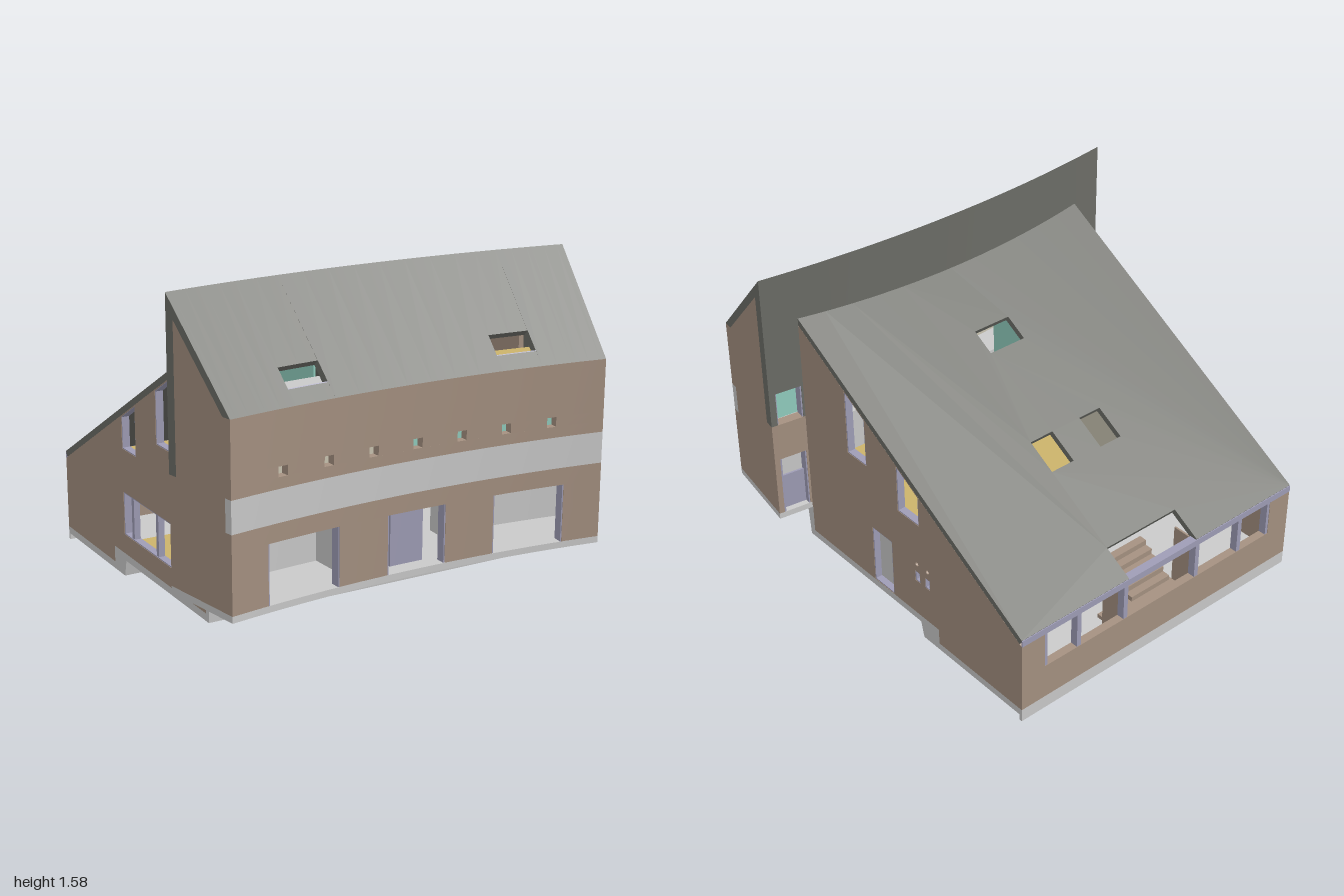
import * as THREE from 'three';
import { toCreasedNormals } from 'three/addons/utils/BufferGeometryUtils.js';

const mat = (name, color) => new THREE.MeshStandardMaterial({ name, color, side: THREE.DoubleSide });

export function createModel() {
  const brick = mat('brown wall', 0xa59181);
  const stone = mat('light grey', 0xcacaca);
  const slate = mat('roof slate', 0x6c6d67);
  const lilac = mat('lilac frame', 0x9f9db6);
  const teal = mat('teal wall', 0x92cfc0);
  const cream = mat('cream wall', 0xcbc5b2);
  const yellow = mat('yellow floor', 0xccb36b);

  const house = new THREE.Group();
  house.name = 'house';
  const frontWing = new THREE.Group();
  frontWing.name = 'curvedFrontWing';
  const rearWing = new THREE.Group();
  rearWing.name = 'rearWing';
  house.add(frontWing, rearWing);

  const add = (parent, name, geometry, material) => {
    const mesh = new THREE.Mesh(geometry, material);
    mesh.name = name;
    parent.add(mesh);
    return mesh;
  };
  const polygon = (pts) => new THREE.Shape(pts.map(([x, y]) => new THREE.Vector2(x, y)));

  // ---- curved front wing: sections in (radius, height) swept about a far axis
  const CZ = 6.99, RF = 6.08, RB = 6.51, W = 0.938;
  const sweep = (name, profile, x0, x1, material) => {
    const steps = Math.max(1, Math.ceil((x1 - x0) / 0.12));
    const g = new THREE.ExtrudeGeometry(polygon(profile), { depth: 1, steps, bevelEnabled: false });
    const p = g.attributes.position;
    for (let i = 0; i < p.count; i++) {
      const a = (x0 + (x1 - x0) * p.getZ(i)) / RF, r = p.getX(i);
      p.setXYZ(i, r * Math.sin(a), p.getY(i), CZ - r * Math.cos(a));
    }
    g.computeVertexNormals();
    return add(frontWing, name, toCreasedNormals(g, 0.4), material);
  };
  const rect = (r0, r1, y0, y1) => [[r0, y0], [r1, y0], [r1, y1], [r0, y1]];
  // wall row with gaps between x pairs
  const row = (name, y0, y1, gaps, material) => {
    const xs = [-W, ...gaps.flat(), W];
    for (let i = 0; i < xs.length; i += 2) sweep(name, rect(RF, RF + 0.04, y0, y1), xs[i], xs[i + 1], material);
  };
  const doors = [[-0.755, -0.395], [-0.15, 0.145], [0.39, 0.75]];
  const smallWindows = [-0.68, -0.45, -0.225, -0.003, 0.22, 0.445, 0.675].map((x) => [x - 0.023, x + 0.023]);
  sweep('frontWingBase', rect(RF, RB, 0.285, 0.315), -W, W, stone);
  row('frontWallGround', 0.315, 0.585, doors, brick);
  row('frontWallLintel', 0.585, 0.665, [], brick);
  row('frontBand', 0.665, 0.81, [], stone);
  row('frontWallSill', 0.81, 0.86, [], brick);
  row('frontWallWindows', 0.86, 0.905, smallWindows, brick);
  row('frontWallUpper', 0.905, 1.145, [], brick);
  for (const [a, b] of doors) {
    sweep('doorReveal', rect(RF + 0.002, RF + 0.05, 0.315, 0.585), a, a + 0.006, lilac);
    sweep('doorReveal', rect(RF + 0.002, RF + 0.05, 0.315, 0.585), b - 0.006, b, lilac);
  }

  // end walls and the narrow rear walls beside the rear wing
  const mirror = (x0, x1, fn) => { fn(x0, x1); fn(-x1, -x0); };
  const endWall = [[RF + 0.04, 0.315], [RB, 0.315], [RB, 0.81], [6.46, 0.81], [6.46, 1.475], [6.13, 1.145], [RF + 0.04, 1.145]];
  mirror(W - 0.025, W, (a, b) => sweep('endWall', endWall, a, b, brick));
  mirror(0.787, W - 0.025, (a, b) => sweep('backWallMiddle', rect(6.46, RB, 0.62, 0.81), a, b, brick));
  mirror(0.765, 0.787, (a, b) => sweep('backWallJamb', rect(6.46, RB, 0.315, 0.81), a, b, brick));
  mirror(0.79, 0.909, (a, b) => sweep('backDoorPanel', rect(6.47, 6.48, 0.315, 0.5), a, b, lilac));
  for (const [y0, y1] of [[0.315, 0.62], [0.812, 0.98]]) {
    mirror(0.787, 0.793, (a, b) => sweep('backWindowFrame', rect(6.462, RB - 0.002, y0, y1), a, b, lilac));
    mirror(0.905, 0.913, (a, b) => sweep('backWindowFrame', rect(6.462, RB - 0.002, y0, y1), a, b, lilac));
  }

  // steep roof folding down over the back wall, with two skylights
  const lower = [[RF, 1.145], [6.13, 1.145], [6.16, 1.175], [6.135, 1.2]];
  const upper = (y) => [[6.21, 1.275], [6.235, 1.25], [6.46, 1.475], [6.46, y], [RB, y], [RB, 1.58]];
  const whole = (y) => [[RF, 1.145], [6.13, 1.145], [6.46, 1.475], [6.46, y], [RB, y], [RB, 1.58]];
  sweep('frontRoof', whole(1.25), -0.42, 0.42, slate);
  mirror(0.42, 0.615, (a, b) => {
    sweep('frontRoofEave', lower, a, b, slate);
    sweep('frontRoofRidge', upper(1.25), a, b, slate);
    sweep('skylightSill', [[6.135, 1.2], [6.16, 1.175], [6.163, 1.178], [6.138, 1.203]], a, b, lilac);
  });
  mirror(0.615, 0.765, (a, b) => sweep('frontRoof', whole(1.25), a, b, slate));
  mirror(0.765, 0.787, (a, b) => sweep('frontRoof', whole(0.81), a, b, slate));
  mirror(0.787, 0.909, (a, b) => sweep('frontRoof', whole(0.98), a, b, slate));
  mirror(0.909, W, (a, b) => sweep('frontRoof', whole(0.81), a, b, slate));

  // rooms of the front wing
  sweep('upperFloor', rect(6.12, 6.46, 0.665, 0.7), -0.91, 0.91, stone);
  sweep('atticFloorRight', rect(6.13, 6.45, 1.1, 1.13), -0.91, 0, stone);
  sweep('atticFloorLeft', rect(6.13, 6.45, 1.1, 1.13), 0, 0.91, yellow);
  sweep('upperPartition', rect(6.3, 6.31, 0.7, 1.1), -0.91, 0.1, cream);
  sweep('upperPartition', rect(6.3, 6.31, 0.7, 1.1), 0.1, 0.91, teal);
  mirror(0.3, 0.91, (a, b) => sweep('garageBackWall', rect(6.39, 6.4, 0.315, 0.665), a, b, stone));
  mirror(0.3, 0.31, (a, b) => sweep('garageSideWall', rect(6.12, 6.46, 0.315, 0.665), a, b, stone));
  sweep('frontDoor', rect(6.16, 6.18, 0.315, 0.585), -0.085, 0.08, lilac);
  sweep('hallWall', rect(6.2, 6.21, 0.315, 0.665), -0.3, -0.08, stone);

  // ---- rear wing: side sections in (z, height) extruded along x
  const sideShape = (pts) => polygon(pts.map(([z, y]) => [-z, y]));
  const sideExtrude = (name, shape, x0, x1, material) => {
    const g = new THREE.ExtrudeGeometry(shape, { depth: x1 - x0, bevelEnabled: false, curveSegments: 12 });
    g.rotateY(Math.PI / 2);
    g.translate(x0, 0, 0);
    return add(rearWing, name, g, material);
  };
  const box = (name, x0, x1, y0, y1, z0, z1, material) => {
    const g = new THREE.BoxGeometry(x1 - x0, y1 - y0, z1 - z0);
    g.translate((x0 + x1) / 2, (y0 + y1) / 2, (z0 + z1) / 2);
    return add(rearWing, name, g, material);
  };
  const SLOPE = 0.5757;
  const under = (z) => 0.425 + SLOPE * (z + 0.985); // underside of the long roof

  sideExtrude('steppedBase', sideShape([[0.575, 0.285], [0.56, 0.11], [-0.29, 0.11], [-0.31, 0.03], [-0.97, 0.03],
    [-0.97, 0], [-0.985, 0], [-0.985, 0.065], [-0.42, 0.065], [-0.42, 0.145], [0.53, 0.145], [0.53, 0.285]]), -0.83, 0.83, stone);

  // side walls with their openings
  const quad = (z0, z1, y0, y1, y2 = y1) => [[z0, y0], [z1, y0], [z1, y2], [z0, y1]];
  const tall = quad(0.07, 0.21, 0.78, under(0.07) - 0.006, under(0.21) - 0.006);
  const middle = quad(-0.3, -0.15, 0.66, under(-0.3) - 0.006, under(-0.15) - 0.006);
  const sides = {
    right: [tall, middle, quad(-0.095, 0.05, 0.147, 0.45), quad(-0.295, -0.26, 0.335, 0.39), quad(-0.365, -0.33, 0.335, 0.39)],
    left: [tall, middle, quad(-0.3, 0.21, 0.24, 0.45)],
  };
  const wallOutline = [[0.535, 0.145], [-0.42, 0.145], [-0.42, 0.065], [-0.985, 0.065], [-0.985, 0.425], [0.535, under(0.535)]];
  for (const [side, openings] of Object.entries(sides)) {
    const x0 = side === 'right' ? 0.79 : -0.83;
    const wall = sideShape(wallOutline);
    for (const o of openings) {
      wall.holes.push(sideShape(o));
      const cz = (o[0][0] + o[1][0]) / 2, cy = (o[0][1] + o[2][1]) / 2;
      const frame = sideShape(o);
      const width = o[1][0] - o[0][0], height = o[2][1] - o[0][1];
      frame.holes.push(sideShape(o.map(([z, y]) => [cz + (z - cz) * (1 - 0.01 / width), cy + (y - cy) * (1 - 0.01 / height)])));
      sideExtrude('windowFrame', frame, x0 + 0.002, x0 + 0.038, lilac);
    }
    if (side === 'right') {
      for (const z of [-0.275, -0.35]) {
        const vent = new THREE.Path();
        vent.absarc(-z, 0.433, 0.01, 0, Math.PI * 2);
        wall.holes.push(vent);
      }
    }
    sideExtrude('sideWall', wall, x0, x0 + 0.04, brick);
  }
  box('sideDoor', 0.785, 0.795, 0.147, 0.45, -0.09, 0.045, stone);
  for (const z of [-0.21, 0.05]) box('windowPost', -0.825, -0.795, 0.24, 0.45, z - 0.012, z + 0.012, lilac);

  // rear wall, posts and fascia
  box('rearParapet', -0.79, 0.79, 0.065, 0.24, -0.985, -0.945, brick);
  for (const s of [-1, 1]) {
    box('rearPier', s * 0.745 - 0.045, s * 0.745 + 0.045, 0.24, 0.425, -0.985, -0.945, brick);
    for (const x of [0.222, 0.5, 0.696]) {
      box('rearPost', s * x - 0.012, s * x + 0.012, 0.24, 0.425, -0.983, -0.945, lilac);
    }
    box('porchWall', s * 0.22 - 0.005, s * 0.22 + 0.005, 0.065, 0.44, -0.945, -0.84, brick);
  }
  box('rearBeam', -0.21, 0.21, 0.42, 0.455, -0.985, -0.945, lilac);
  box('rearFascia', -0.83, 0.83, 0.425, 0.457, -0.988, -0.982, lilac);
  box('porchFloor', -0.215, 0.215, 0.12, 0.14, -0.945, -0.8, brick);
  for (let i = 0; i < 5; i++) box('porchStep', -0.2, 0.04, 0.12, 0.165 + i * 0.028, -0.84 + i * 0.04, -0.8 + i * 0.04, brick);

  // long roof drawn in its own plane, with skylights and a porch notch
  const c = 1 / Math.hypot(1, SLOPE), sn = SLOPE * c;
  const along = (z) => (z + 0.985) / c;
  const edge = [[-0.21, along(-0.985)], [-0.21, along(-0.84)], [0.21, along(-0.84)], [0.21, along(-0.985)], [0.83, 0]];
  for (let i = 0; i <= 12; i++) {
    const x = 0.83 - (1.66 * i) / 12;
    edge.push([x, along(CZ - Math.sqrt(6.505 ** 2 - x * x))]);
  }
  edge.push([-0.83, 0]);
  const roofShape = polygon(edge);
  for (const [x0, x1, z0, z1] of [[-0.21, -0.085, -0.475, -0.33], [0.08, 0.21, -0.475, -0.33], [-0.1, 0.1, 0.073, 0.185]]) {
    roofShape.holes.push(polygon([[x0, along(z0)], [x1, along(z0)], [x1, along(z1)], [x0, along(z1)]]));
  }
  const roof = new THREE.ExtrudeGeometry(roofShape, { depth: 0.03, bevelEnabled: false });
  roof.applyMatrix4(new THREE.Matrix4().makeBasis(
    new THREE.Vector3(1, 0, 0), new THREE.Vector3(0, sn, c), new THREE.Vector3(0, -c, sn)).setPosition(0, 0.46, -0.985));
  add(rearWing, 'longRoof', roof, slate);

  // rooms of the rear wing
  box('rearUpperFloor', -0.79, 0.79, 0.53, 0.56, -0.6, 0.47, yellow);
  box('groundFloor', -0.79, -0.2, 0.145, 0.15, -0.42, 0.5, yellow);
  const partition = (z0, z1) => sideShape([[z1, 0.56], [z0, 0.56], [z0, under(z0) - 0.005], [z1, under(z1) - 0.005]]);
  for (const x of [-0.26, 0.25]) {
    sideExtrude('tealPartition', partition(0, 0.47), x, x + 0.01, teal);
    sideExtrude('creamPartition', partition(-0.6, 0), x, x + 0.01, cream);
  }
  box('groundPartition', -0.26, -0.25, 0.15, 0.53, 0, 0.47, teal);
  box('groundPartition', 0.25, 0.26, 0.145, 0.53, -0.42, 0.47, teal);
  return house;
}
